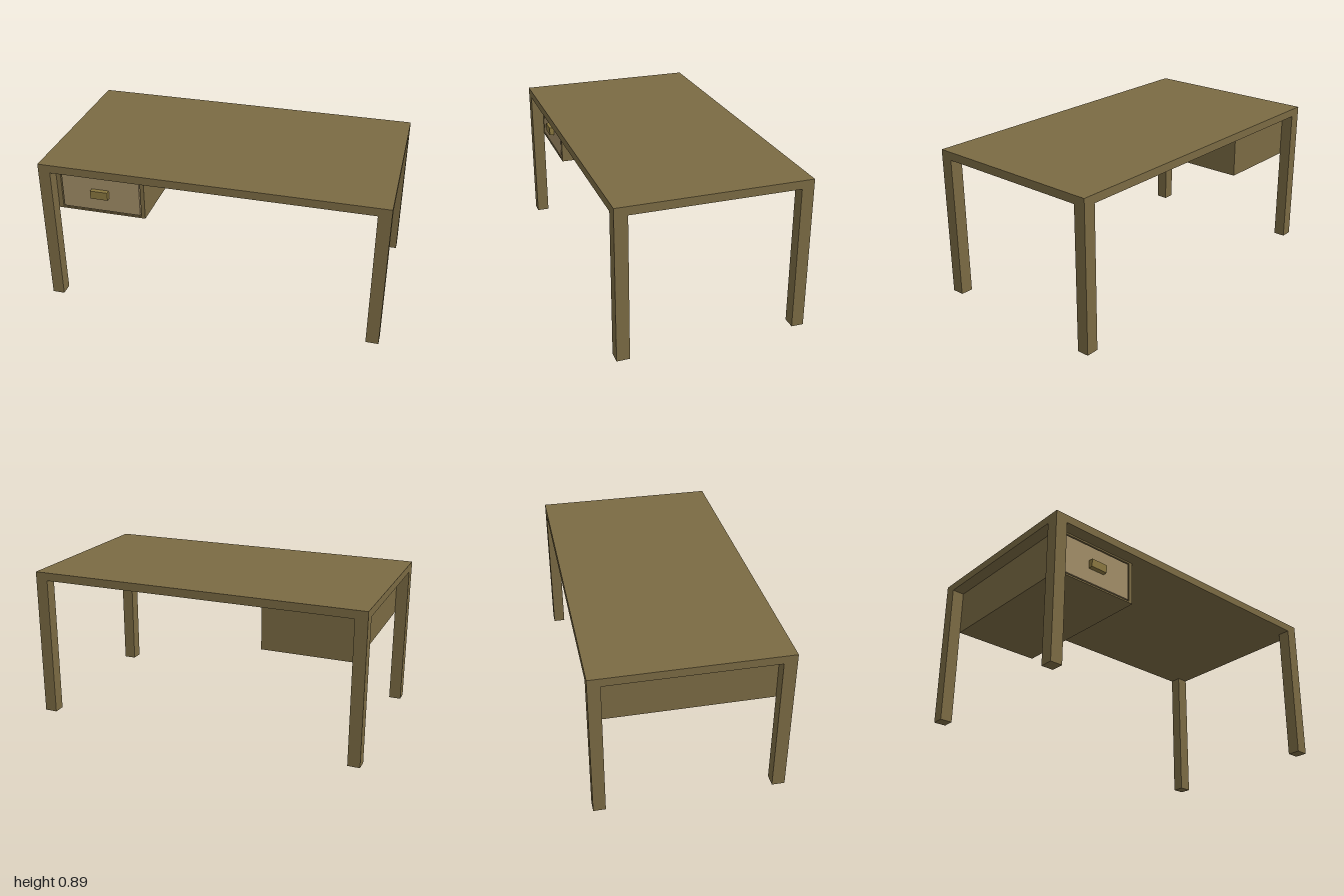
import * as THREE from 'three';

const mat = (color) => new THREE.MeshStandardMaterial({ color });

export function createModel() {
  const desk = new THREE.Group();
  desk.name = 'desk';
  const wood = mat(0x7a6a43), pale = mat(0xa08c66), brass = mat(0x88763f);

  // Box given by its min and max corners
  const box = (name, [x0, y0, z0], [x1, y1, z1], material, parent = desk) => {
    const mesh = new THREE.Mesh(new THREE.BoxGeometry(x1 - x0, y1 - y0, z1 - z0), material);
    mesh.position.set((x0 + x1) / 2, (y0 + y1) / 2, (z0 + z1) / 2);
    mesh.name = name;
    parent.add(mesh);
    return mesh;
  };

  // Tabletop and four square legs flush with its corners
  const H = 0.888, under = 0.84, Z = 0.545, front = 0.471, back = -0.475;
  box('tabletop', [-1, under, -Z], [1, H, Z], wood);
  for (const [x0, x1] of [[-1, -0.929], [0.926, 1]]) {
    box('frontLeg', [x0, 0, front], [x1, under, Z], wood);
    box('backLeg', [x0, 0, -Z], [x1, under, back], wood);
  }

  // Drawer housing: a rectangular sleeve open at the front, closed at the back
  const rect = (path, x0, y0, x1, y1) =>
    path.moveTo(x0, y0).lineTo(x1, y0).lineTo(x1, y1).lineTo(x0, y1).closePath();
  const L = -0.929, R = -0.396, B = 0.575;
  const sleeve = rect(new THREE.Shape(), L, B, R, under);
  sleeve.holes.push(rect(new THREE.Path(), -0.902, 0.585, -0.419, 0.83));
  const wall = 0.02;
  const housing = new THREE.Mesh(
    new THREE.ExtrudeGeometry(sleeve, { depth: front - back - wall, bevelEnabled: false }), wood);
  housing.position.z = back + wall;
  housing.name = 'drawerHousing';
  desk.add(housing);
  box('housingBack', [L, B, back], [R, under, back + wall], wood);

  // Drawer with a narrow gap around its front, and a block handle
  const drawer = new THREE.Group();
  drawer.name = 'drawer';
  desk.add(drawer);
  box('drawerFront', [-0.895, 0.592, front - 0.03], [-0.426, 0.822, front], pale, drawer);
  box('drawerHandle', [-0.714, 0.679, front], [-0.61, 0.728, front + 0.028], brass, drawer);
  return desk;
}
